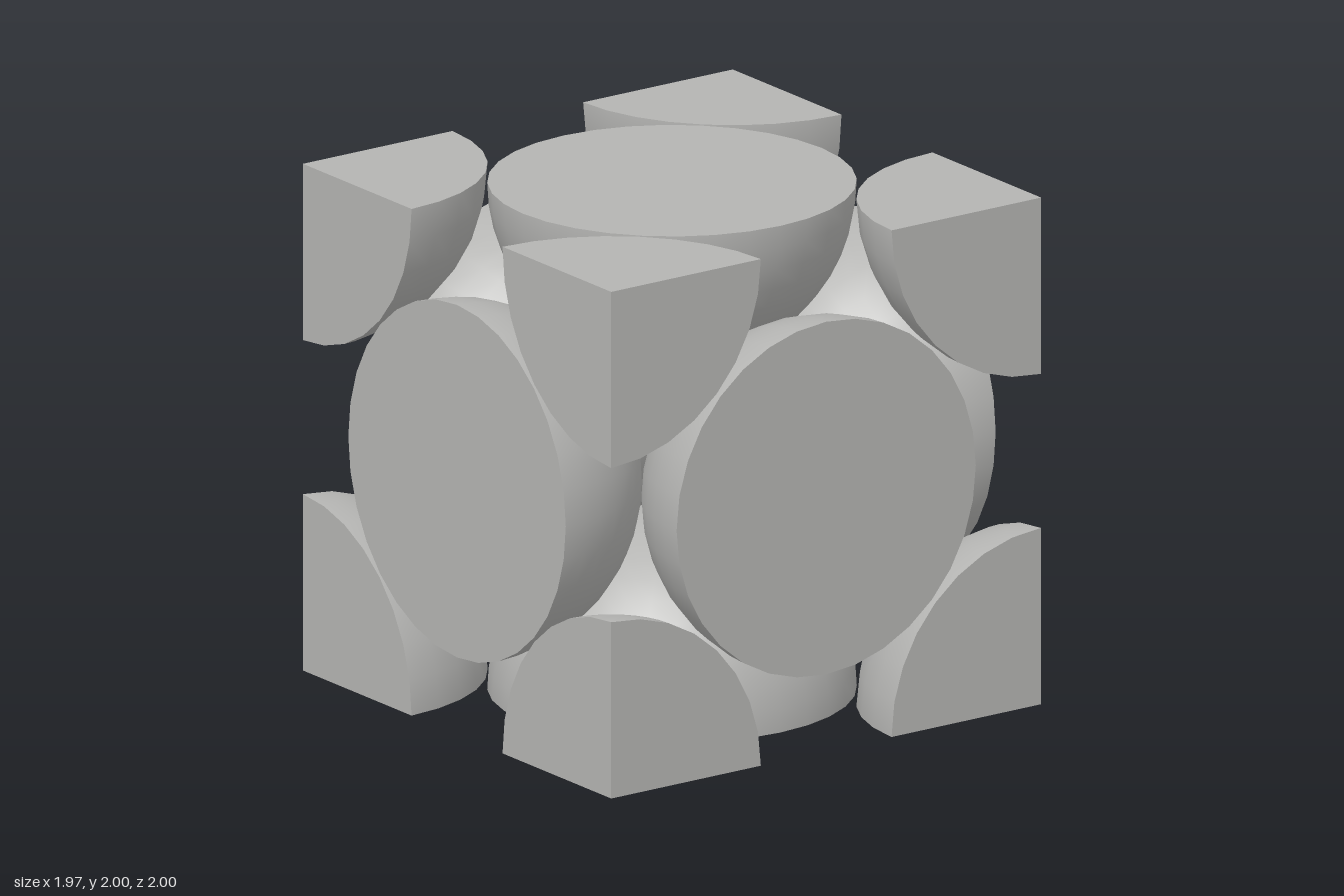
import * as THREE from 'three';
import { mergeGeometries } from 'three/addons/utils/BufferGeometryUtils.js';

const R = 0.696;                                  // sphere radius
const HALF = new THREE.Vector3(0.987, 1, 1);      // half size of the cell
const UP = new THREE.Vector3(0, 1, 0);

// Half sphere, dome towards +y, with a flat cap facing -y
function hemisphere() {
  return mergeGeometries([
    new THREE.SphereGeometry(R, 32, 12, 0, Math.PI * 2, 0, Math.PI / 2),
    new THREE.CircleGeometry(R, 32).rotateX(Math.PI / 2),
  ]);
}

// Eighth of a sphere filling -x, +y, +z, with three flat quarter caps
function octant() {
  const q = Math.PI / 2;
  return mergeGeometries([
    new THREE.SphereGeometry(R, 8, 8, 0, q, 0, q),
    new THREE.CircleGeometry(R, 8, 0, q).rotateY(Math.PI),
    new THREE.CircleGeometry(R, 8, q, q).rotateY(q),
    new THREE.CircleGeometry(R, 8, q, q).rotateX(q),
  ]);
}

export function createModel() {
  const model = new THREE.Group();
  model.name = 'cubicCell';
  const grey = new THREE.MeshStandardMaterial({ color: 0xb4b4b2 });
  grey.name = 'grey';

  // Half spheres centred on the six faces, domes pointing inwards
  const half = hemisphere();
  const faces = {
    left: [1, 0, 0], right: [-1, 0, 0], top: [0, 1, 0],
    bottom: [0, -1, 0], front: [0, 0, 1], back: [0, 0, -1],
  };
  for (const [side, d] of Object.entries(faces)) {
    const dir = new THREE.Vector3(...d);
    const mesh = new THREE.Mesh(half, grey);
    mesh.name = side + 'HalfSphere';
    mesh.position.copy(dir).multiply(HALF);
    mesh.quaternion.setFromUnitVectors(UP, dir.negate());
    model.add(mesh);
  }

  // Eighth spheres in the eight corners, turned round the cell
  const eighth = octant();
  for (const flip of [0, Math.PI]) {
    for (let i = 0; i < 4; i++) {
      const mesh = new THREE.Mesh(eighth, grey);
      mesh.name = (flip ? 'top' : 'bottom') + 'Corner' + (i + 1);
      mesh.rotation.set(flip, i * Math.PI / 2, 0);
      mesh.position.set(1, -1, -1).applyEuler(mesh.rotation).round().multiply(HALF);
      model.add(mesh);
    }
  }

  model.position.y = 1;
  const root = new THREE.Group();
  root.name = 'sphereCell';
  root.add(model);
  return root;
}
